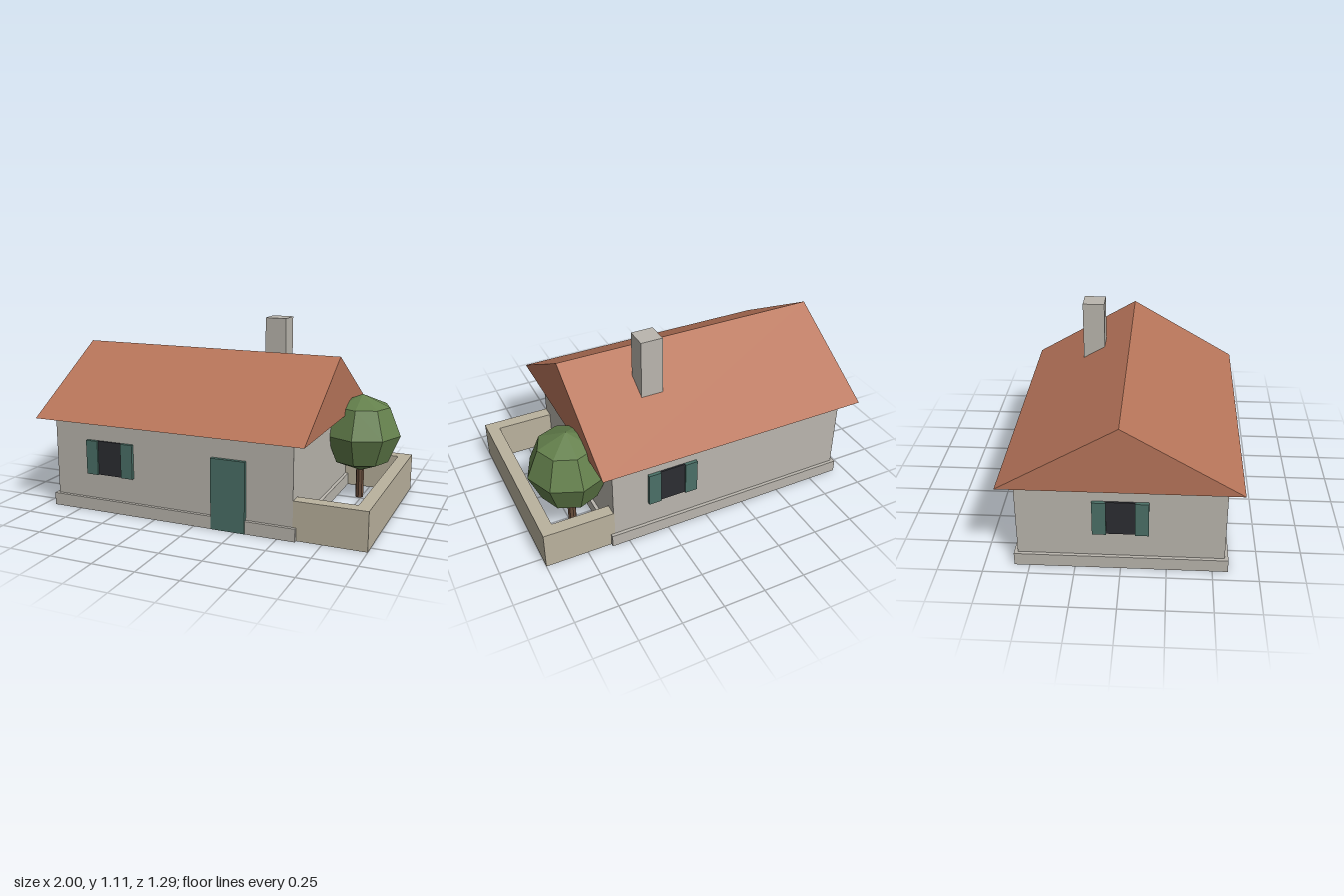
import * as THREE from 'three';

const mat = (color) => new THREE.MeshStandardMaterial({ color, flatShading: true });

export function createModel() {
  const model = new THREE.Group();
  model.name = 'cottage';
  const plaster = mat(0xbab6ae), stone = mat(0xbab29e), tile = mat(0xb8755a);
  const paint = mat(0x4b7067), glass = mat(0x2c2d32), leaf = mat(0x64804c), bark = mat(0x6b4f3d);

  const add = (name, geometry, material, parent = model) => {
    const mesh = new THREE.Mesh(geometry, material);
    mesh.name = name;
    parent.add(mesh);
    return mesh;
  };
  // Box given by its extents along x, y and z
  const box = (name, [x0, x1], [y0, y1], [z0, z1], material, parent) => {
    const mesh = add(name, new THREE.BoxGeometry(x1 - x0, y1 - y0, z1 - z0), material, parent);
    mesh.position.set((x0 + x1) / 2, (y0 + y1) / 2, (z0 + z1) / 2);
    return mesh;
  };

  // House body
  box('plinth', [-0.932, 0.605], [0, 0.075], [-0.585, 0.585], plaster);
  box('walls', [-0.912, 0.585], [0.01, 0.55], [-0.565, 0.565], plaster);
  box('door', [0.107, 0.312], [0, 0.415], [0.54, 0.587], paint);
  box('chimney', [0.143, 0.275], [0.6, 1.108], [-0.292, -0.162], plaster);

  // Gabled roof: a closed triangular prism along x
  const gable = new THREE.Shape([
    new THREE.Vector2(-0.645, 0.547),
    new THREE.Vector2(0.645, 0.547),
    new THREE.Vector2(0, 0.925),
  ]);
  const roof = add('roof', new THREE.ExtrudeGeometry(gable, { depth: 1.668, bevelEnabled: false }), tile);
  roof.rotation.y = Math.PI / 2;
  roof.position.x = -1;

  // Shuttered windows, each built facing +z and turned onto its wall
  const addWindow = (name, x, z, angle) => {
    const group = new THREE.Group();
    group.name = name;
    box('pane', [-0.085, 0.085], [0.225, 0.43], [-0.02, 0.01], glass, group);
    for (const s of [-1, 1]) {
      const shutter = box('shutter', [-0.0375, 0.0375], [0.225, 0.43], [-0.02, 0.02], paint, group);
      shutter.position.x = s * 0.115;
    }
    group.position.set(x, 0, z);
    group.rotation.y = angle;
    model.add(group);
  };
  addWindow('frontWindow', -0.543, 0.565, 0);
  addWindow('backWindow', 0.218, -0.565, Math.PI);
  addWindow('sideWindow', -0.912, 0, -Math.PI / 2);

  // Low wall around the garden, open to the ground
  const garden = new THREE.Shape([
    new THREE.Vector2(0.58, -0.565), new THREE.Vector2(1, -0.565),
    new THREE.Vector2(1, 0.565), new THREE.Vector2(0.58, 0.565),
    new THREE.Vector2(0.58, 0.49), new THREE.Vector2(0.925, 0.49),
    new THREE.Vector2(0.925, -0.49), new THREE.Vector2(0.58, -0.49),
  ]);
  const gardenWall = add('gardenWall', new THREE.ExtrudeGeometry(garden, { depth: 0.226, bevelEnabled: false }), stone);
  gardenWall.rotation.x = -Math.PI / 2;

  // Tree
  const tree = new THREE.Group();
  tree.name = 'tree';
  tree.position.set(0.735, 0, -0.282);
  model.add(tree);
  add('trunk', new THREE.CylinderGeometry(0.025, 0.025, 0.26, 8), bark, tree).position.y = 0.13;
  add('crown', new THREE.SphereGeometry(0.242, 8, 4), leaf, tree).position.y = 0.415;

  return model;
}
